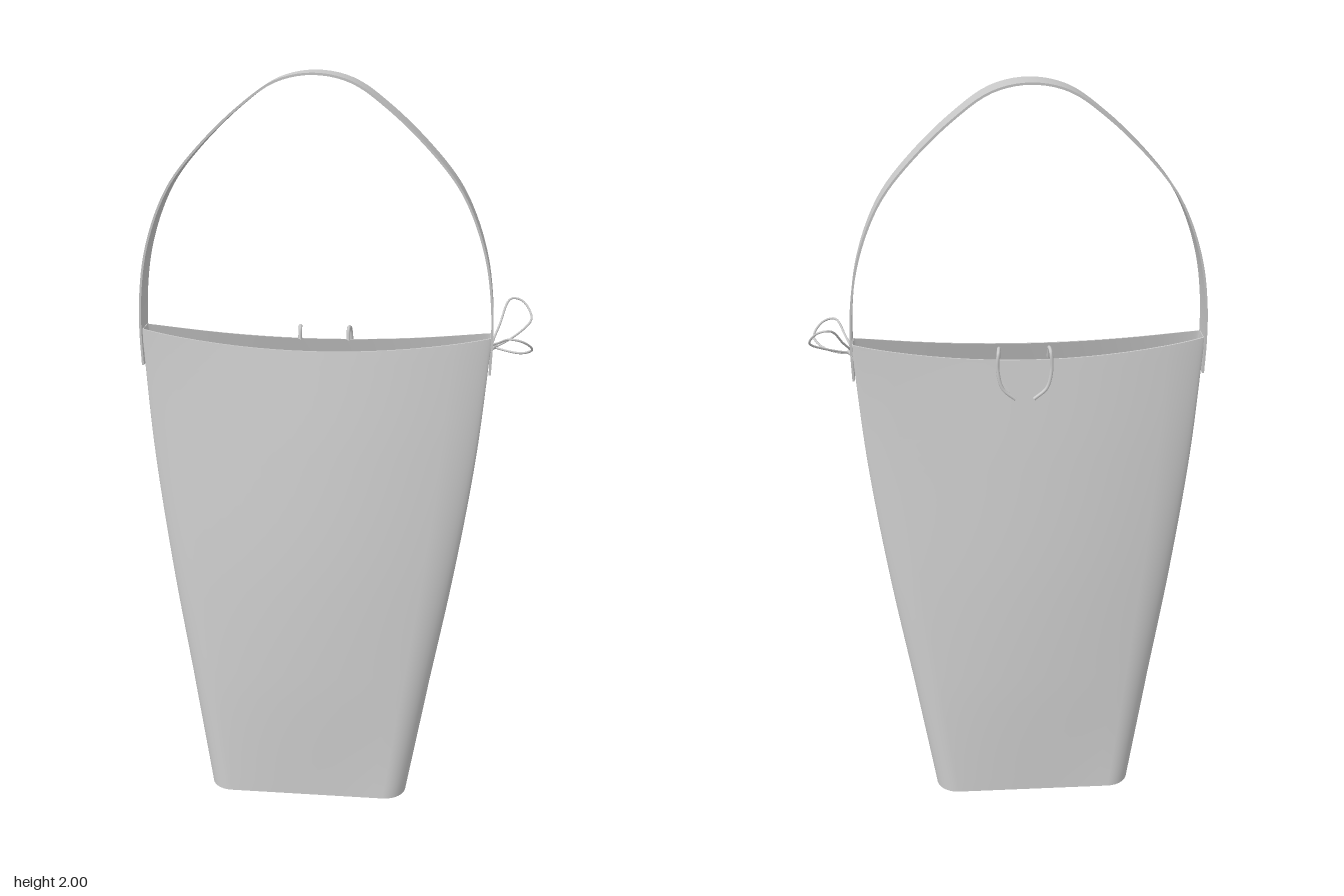
import * as THREE from 'three';
import { toCreasedNormals } from 'three/addons/utils/BufferGeometryUtils.js';

const CX = -0.055; // middle of the bag; the bow sticks out on the left side
const V = (x, y, z) => new THREE.Vector3(x, y, z);

// Rounded unit square, running from +x towards +z
function unitRing(r = 0.22) {
  const pts = [], c = 1 - r;
  for (let k = 0; k < 4; k++) {
    const side = [];
    for (let i = 0; i < 14; i++) side.push([1, -c + (2 * c * i) / 14]);
    for (let i = 0; i < 8; i++) {
      const a = (i / 8) * Math.PI / 2;
      side.push([c + r * Math.cos(a), c + r * Math.sin(a)]);
    }
    for (let [x, z] of side) {
      for (let n = 0; n < k; n++) [x, z] = [-z, x];
      pts.push([x, z]);
    }
  }
  return pts;
}

// Half width and half depth of the bag at even heights, from base to rim
const size = new THREE.CatmullRomCurve3([
  V(0.28, 0.28, 0), V(0.34, 0.247, 0), V(0.402, 0.2, 0), V(0.452, 0.138, 0), V(0.484, 0.068, 0),
]);

// Cross-section at height t: a square base turning into a slim lens at the rim
function section(t, inset = 0) {
  const s = size.getPoint(t);
  return unitRing().map(([x, z]) => {
    const lens = 1 - 0.5 * t * x * x;
    return V(CX + x * (s.x - inset), t * (1.26 + 0.04 * x * x), z * (s.y - inset) * lens);
  });
}

// Skin closed rings of points
function loft(rings, inward = false) {
  const n = rings[0].length, pos = [], index = [];
  rings.forEach((ring) => ring.forEach((p) => pos.push(p.x, p.y, p.z)));
  for (let i = 0; i < rings.length - 1; i++) {
    for (let j = 0; j < n; j++) {
      const a = i * n + j, b = i * n + ((j + 1) % n), c = a + n, d = b + n;
      if (inward) index.push(a, b, c, b, d, c);
      else index.push(a, c, b, b, c, d);
    }
  }
  const g = new THREE.BufferGeometry();
  g.setAttribute('position', new THREE.Float32BufferAttribute(pos, 3));
  g.setIndex(index);
  g.computeVertexNormals();
  return g;
}

export function createModel() {
  const group = new THREE.Group();
  const fabric = new THREE.MeshStandardMaterial({ color: 0xc8c8c8, side: THREE.DoubleSide });
  fabric.name = 'light grey';
  const add = (name, geometry) => {
    const mesh = new THREE.Mesh(geometry, fabric);
    mesh.name = name;
    group.add(mesh);
    return mesh;
  };

  // Bag walls, rim and floor
  const steps = Array.from({ length: 33 }, (_, i) => i / 32);
  add('bagOuterWall', loft(steps.map((t) => section(t))));
  add('bagInnerWall', loft(steps.map((t) => section(t, 0.005)), true));
  add('bagRim', loft([section(1), section(1, 0.005)]));
  const floor = new THREE.ShapeGeometry(new THREE.Shape(section(0).map((p) => new THREE.Vector2(p.x, p.z))));
  add('bagFloor', floor.rotateX(Math.PI / 2));

  // Strap: a thin band arching from one end of the rim to the other
  const half = [[0.481, 1.2], [0.484, 1.3], [0.48, 1.4], [0.464, 1.51], [0.43, 1.62], [0.385, 1.71],
    [0.31, 1.803], [0.2, 1.908], [0.1, 1.977]];
  const arch = new THREE.CatmullRomCurve3([
    ...half.map(([x, y]) => V(CX - x, y, 0)), V(CX, 1.997, 0),
    ...half.map(([x, y]) => V(CX + x, y, 0)).reverse(),
  ]);
  const outer = [], inner = [];
  for (let i = 0; i <= 90; i++) {
    const p = arch.getPoint(i / 90), d = arch.getTangent(i / 90);
    outer.push(new THREE.Vector2(p.x - d.y * 0.003, p.y + d.x * 0.003));
    inner.push(new THREE.Vector2(p.x + d.y * 0.003, p.y - d.x * 0.003));
  }
  const band = new THREE.ExtrudeGeometry(new THREE.Shape([...outer, ...inner.reverse()]),
    { depth: 0.084, bevelEnabled: false });
  add('strap', toCreasedNormals(band.translate(0, 0, -0.042), 0.6));

  // Two wire hooks curling over the back of the rim
  const wire = (pts, radius, closed = false) => new THREE.TubeGeometry(
    new THREE.CatmullRomCurve3(pts, closed), 48, radius, 8, closed);
  for (const side of [-1, 1]) {
    const hook = [[0.068, 1.262, -0.048], [0.068, 1.294, -0.062], [0.071, 1.288, -0.085],
      [0.073, 1.24, -0.092], [0.06, 1.19, -0.098], [0.025, 1.16, -0.102]];
    add(side < 0 ? 'rightHook' : 'leftHook',
      wire(hook.map(([x, y, z]) => V(-0.038 + side * x, y, z)), 0.005));
  }

  // Thin cord bow tied to the left end of the strap
  add('bowBackLoop', wire([V(0.432, 1.27, 0), V(0.45, 1.32, -0.06), V(0.478, 1.375, -0.122),
    V(0.51, 1.37, -0.122), V(0.536, 1.33, -0.088), V(0.505, 1.3, -0.048)], 0.003, true));
  add('bowFrontLoop', wire([V(0.432, 1.27, 0), V(0.45, 1.3, 0.065), V(0.478, 1.325, 0.122),
    V(0.51, 1.318, 0.12), V(0.536, 1.288, 0.084), V(0.505, 1.266, 0.045)], 0.003, true));
  const knot = add('bowKnot', new THREE.SphereGeometry(0.008, 12, 8));
  knot.position.set(0.434, 1.27, 0);
  add('bowCord', wire([V(0.427, 1.27, -0.045), V(0.434, 1.27, 0), V(0.427, 1.27, 0.045)], 0.003));

  return group;
}
